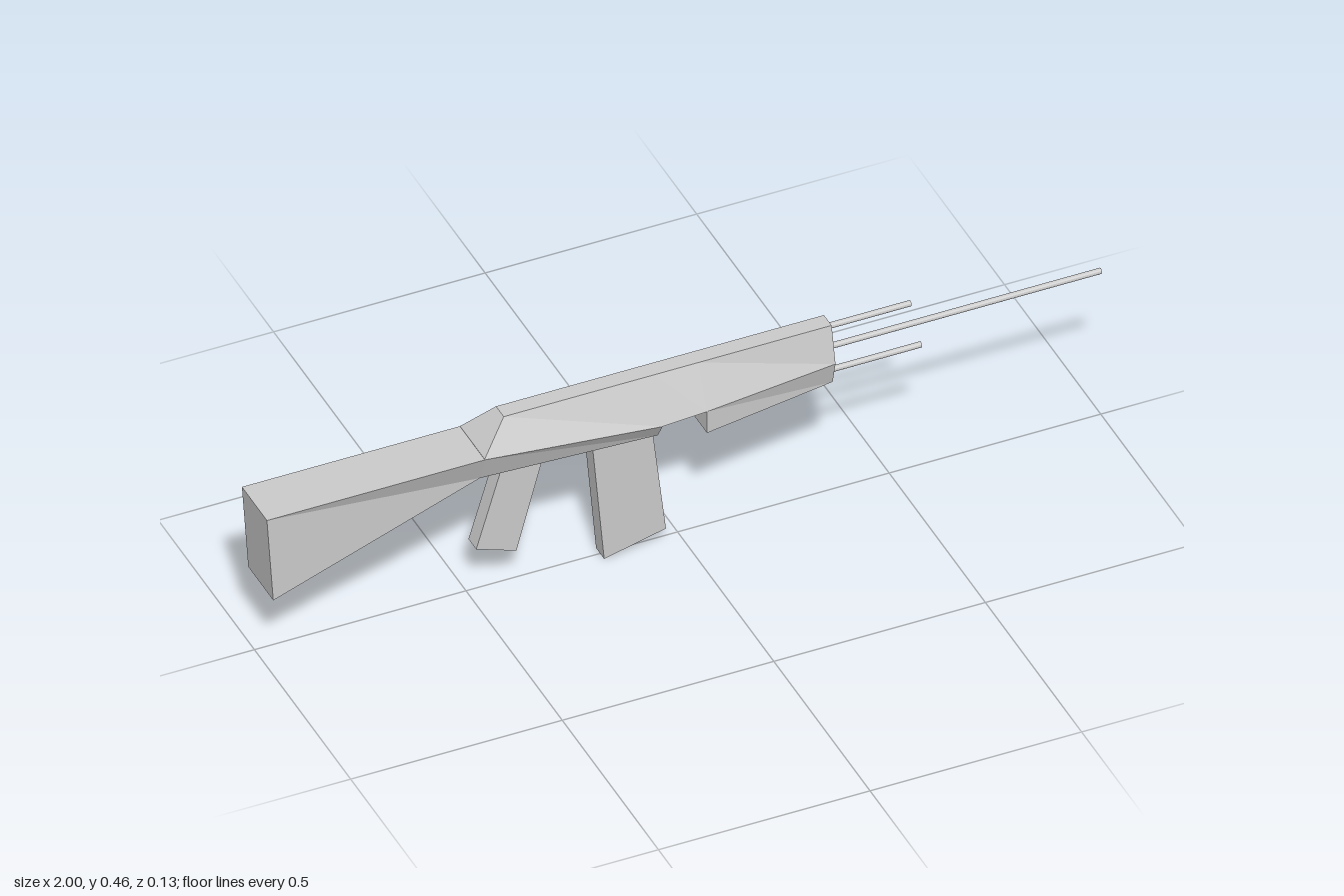
import * as THREE from 'three';

const material = new THREE.MeshStandardMaterial({ color: 0xcccccc, flatShading: true });

// Loft along x. Each section lists [x, y, halfWidth] from top to bottom, mirrored in z.
function loft(sections) {
  const rings = sections.map(s => [
    ...s.map(([x, y, w]) => [x, y, w]),
    ...s.map(([x, y, w]) => [x, y, -w]).reverse(),
  ]);
  const n = rings[0].length, index = [];
  for (let i = 0; i < rings.length - 1; i++) {
    for (let j = 0; j < n; j++) {
      const k = (j + 1) % n, a = i * n, b = a + n;
      index.push(a + j, a + k, b + k, a + j, b + k, b + j);
    }
  }
  const end = (rings.length - 1) * n;
  for (let j = 1; j < n - 1; j++) {
    index.push(0, j + 1, j, end, end + j, end + j + 1);
  }
  const geo = new THREE.BufferGeometry();
  geo.setAttribute('position', new THREE.Float32BufferAttribute(rings.flat(2), 3));
  geo.setIndex(index);
  const flat = geo.toNonIndexed();
  flat.computeVertexNormals();
  return flat;
}

// Flat side outline extruded to a slab centred on z = 0
function slab(points, width) {
  const shape = new THREE.Shape(points.map(p => new THREE.Vector2(...p)));
  return new THREE.ExtrudeGeometry(shape, { depth: width, bevelEnabled: false })
    .translate(0, 0, -width / 2);
}

// Round rod along x
function rod(x0, x1, y, r) {
  return new THREE.CylinderGeometry(r, r, x1 - x0, 12)
    .rotateZ(-Math.PI / 2).translate((x0 + x1) / 2, y, 0);
}

export function createModel() {
  const model = new THREE.Group();
  const add = (name, geometry) => {
    const mesh = new THREE.Mesh(geometry, material);
    mesh.name = name;
    model.add(mesh);
  };

  // Upper body: narrow flat top, sloping sides, tapering to the front
  add('upperBody', loft([
    [[-0.485, 0.398, 0.064], [-0.485, 0.397, 0.065]],
    [[-0.42, 0.462, 0.02], [-0.42, 0.39, 0.065]],
    [[-0.065, 0.462, 0.02], [-0.065, 0.353, 0.065]],
    [[0.04, 0.462, 0.02], [0.04, 0.36, 0.065]],
    [[0.355, 0.462, 0.02], [0.355, 0.371, 0.04]],
  ]));

  // Lower receiver, narrowing downward
  add('lowerReceiver', loft([
    [[-0.485, 0.397, 0.065], [-0.485, 0.33, 0.04]],
    [[-0.065, 0.353, 0.065], [-0.065, 0.312, 0.04]],
  ]));

  // Handguard in front of the notch
  add('handguard', loft([
    [[0.04, 0.36, 0.065], [0.04, 0.302, 0.065]],
    [[0.355, 0.371, 0.04], [0.355, 0.312, 0.025]],
  ]));

  // Shoulder stock
  add('stock', loft([
    [[-1, 0.397, 0.065], [-0.985, 0.175, 0.065]],
    [[-0.485, 0.397, 0.065], [-0.485, 0.33, 0.04]],
  ]));

  // Grip and magazine
  add('grip', slab([[-0.42, 0.34], [-0.485, 0.122], [-0.39, 0.088], [-0.322, 0.34]], 0.04));
  add('magazine', slab([[-0.212, 0.33], [-0.183, 0], [-0.037, 0.036], [-0.071, 0.33]], 0.042));

  // Rods above and below the barrel
  add('upperRod', rod(0.34, 0.55, 0.446, 0.007));
  add('lowerRod', rod(0.34, 0.575, 0.326, 0.007));

  // Hollow barrel
  const profile = [[0.007, 0.34], [0.007, 1], [0.0045, 1], [0.0045, 0.9], [0, 0.9]]
    .map(p => new THREE.Vector2(...p));
  add('barrel', new THREE.LatheGeometry(profile, 12)
    .rotateZ(-Math.PI / 2).translate(0, 0.39, 0));

  return model;
}
